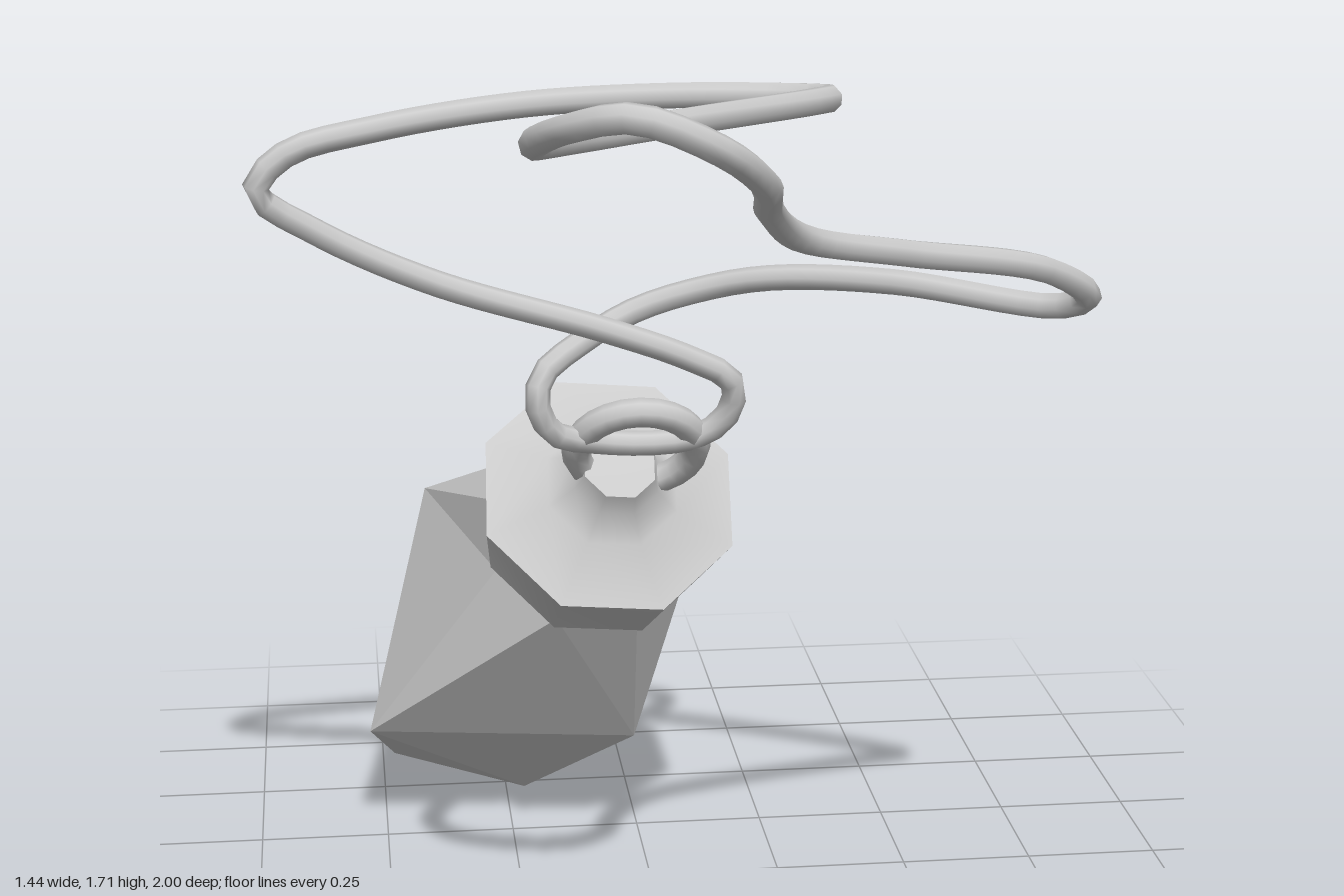
import * as THREE from 'three';
import { toCreasedNormals } from 'three/addons/utils/BufferGeometryUtils.js';

const V = (x, y, z) => new THREE.Vector3(x, y, z);
const grey = new THREE.MeshStandardMaterial({ color: 0xcccccc });
const greyFlat = new THREE.MeshStandardMaterial({ color: 0xcccccc, flatShading: true });

function addMesh(group, name, geometry, material = grey) {
  const mesh = new THREE.Mesh(geometry, material);
  mesh.name = name;
  group.add(mesh);
  return mesh;
}

// Closed cord, looped once through the ring
function cordGeometry() {
  const path = [
    [0.4, 1.23, 0.03], [0.2, 1.22, -0.07], [0.08, 1.19, -0.125], [-0.04, 1.15, -0.14],
    [-0.14, 1.1, -0.11], [-0.21, 1.05, -0.08], [-0.22, 1.0, -0.07], [-0.19, 0.94, -0.09],
    [-0.1, 0.91, -0.13], [0, 0.905, -0.13], [0.08, 0.92, -0.12], [0.13, 0.97, -0.1],
    [0.13, 1.03, -0.08], [0.05, 1.08, -0.06], [-0.1, 1.14, -0.04], [-0.4, 1.24, -0.01],
    [-0.6, 1.34, 0.02], [-0.7, 1.42, 0.05], [-0.65, 1.48, 0.05], [-0.5, 1.52, 0.045],
    [-0.25, 1.555, 0.035], [0, 1.565, 0.03], [0.2, 1.565, 0.05], [0.27, 1.57, 0.11],
    [0.24, 1.575, 0.17], [0, 1.59, 0.42], [-0.2, 1.6, 0.62], [-0.28, 1.62, 0.77],
    [-0.24, 1.665, 0.9], [-0.15, 1.69, 0.97], [-0.03, 1.64, 0.95], [0.05, 1.57, 0.85],
    [0.08, 1.5, 0.7], [0.16, 1.42, 0.54], [0.34, 1.37, 0.43], [0.6, 1.31, 0.31],
    [0.7, 1.24, 0.22], [0.66, 1.21, 0.16],
  ].map(p => V(...p));
  const curve = new THREE.CatmullRomCurve3(path, true, 'centripetal');
  return new THREE.TubeGeometry(curve, 160, 0.023, 8, true);
}

// Eight-sided flared cap: profile runs from the gem side to the neck
function capGeometry() {
  const profile = [[0, -0.17], [0.15, -0.17], [0.22, -0.165], [0.25, 0], [0.13, 0.04],
    [0.085, 0.085], [0.07, 0.125], [0, 0.13]].map(p => new THREE.Vector2(...p));
  return toCreasedNormals(new THREE.LatheGeometry(profile, 8, Math.PI / 8), 0.85);
}

// Irregular cut gem: an octagonal neck joined to hand-placed corners
function gemGeometry() {
  const corners = [
    V(-0.53, 0.23, -0.48), V(-0.48, 0.11, -0.66), V(-0.28, 0.06, -1), V(-0.14, 0, -0.8),
    V(-0.22, 0.05, -0.6), V(-0.01, 0.21, -0.45), V(0.03, 0.14, -0.75), V(0.07, 0.3, -0.91),
    V(0, 0.29, -1), V(-0.01, 0.42, -0.97), V(-0.4, 0.61, -0.87), V(0.11, 0.59, -0.62),
  ];
  // corners 12 to 19: neck, counted from the +x side over the top
  for (let k = 0; k < 8; k++) {
    const a = (k + 0.5) * Math.PI / 4;
    const up = 0.14 * Math.sin(a);
    corners.push(V(-0.1 + 0.2 * Math.cos(a), 0.66 + up, -0.38 - up));
  }
  const facets = [
    [17, 0, 5, 18], [0, 1, 4, 5], [5, 4, 3, 6], [18, 5, 19], [19, 5, 11, 12],
    [5, 6, 7, 11], [3, 2, 8, 6], [6, 8, 7], [1, 2, 3, 4], [7, 8, 9, 11],
    [12, 11, 13], [13, 11, 9], [13, 9, 10], [13, 10, 14], [10, 2, 8, 9],
    [10, 0, 1, 2], [14, 10, 15], [15, 10, 16], [16, 10, 0], [16, 0, 17],
  ];
  const centre = V(-0.17, 0.38, -0.65);
  const points = [];
  for (const f of facets) {
    for (let i = 1; i < f.length - 1; i++) {
      const [a, b, c] = [corners[f[0]], corners[f[i]], corners[f[i + 1]]];
      const normal = b.clone().sub(a).cross(c.clone().sub(a));
      // turn every triangle outward
      const outward = normal.dot(a.clone().sub(centre)) > 0;
      points.push(...(outward ? [a, b, c] : [a, c, b]));
    }
  }
  const geometry = new THREE.BufferGeometry().setFromPoints(points);
  geometry.computeVertexNormals();
  return geometry;
}

export function createModel() {
  const model = new THREE.Group();
  model.name = 'pendant';

  addMesh(model, 'cord', cordGeometry());

  const ring = addMesh(model, 'ring', new THREE.TorusGeometry(0.11, 0.027, 8, 24));
  ring.position.set(-0.035, 0.89, -0.15);
  ring.rotation.x = 0.67;

  const cap = addMesh(model, 'cap', capGeometry());
  cap.position.set(-0.075, 0.77, -0.26);
  cap.quaternion.setFromUnitVectors(V(0, 1, 0), V(0.09, 0.66, 0.73).normalize());

  addMesh(model, 'gem', gemGeometry(), greyFlat);
  return model;
}
